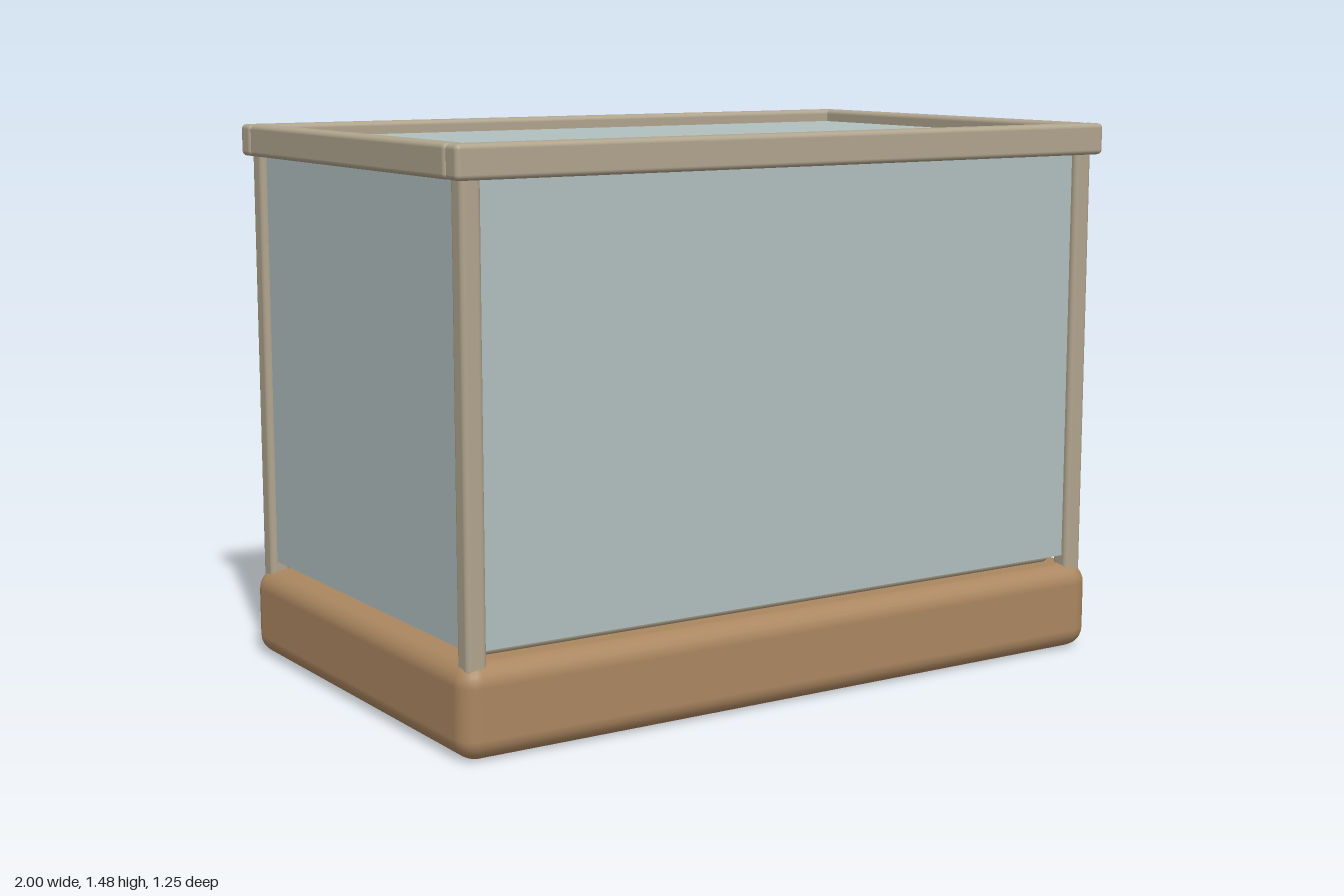
import * as THREE from 'three';
import { RoundedBoxGeometry } from 'three/addons/geometries/RoundedBoxGeometry.js';

export function createModel() {
  const model = new THREE.Group();
  model.name = 'glassTank';

  const material = (name, color) => {
    const m = new THREE.MeshStandardMaterial({ color });
    m.name = name;
    return m;
  };
  const wood = material('baseWood', 0xab8660);
  const trim = material('trim', 0xb0a48d);
  const glass = material('glass', 0xb0bfbe);

  const add = (name, geometry, mat, x, y, z) => {
    const mesh = new THREE.Mesh(geometry, mat);
    mesh.name = name;
    mesh.position.set(x, y, z);
    model.add(mesh);
  };
  const rounded = (w, h, d, r) => new RoundedBoxGeometry(w, h, d, 3, r);

  // Heavy rounded base and the floor tray standing on it
  add('base', rounded(2, 0.24, 1.25, 0.055), wood, 0, 0.12, 0);
  add('floorTray', rounded(1.83, 0.06, 1.09, 0.016), trim, 0, 0.269, 0);

  // Corner posts
  for (const x of [-0.95, 0.95]) {
    for (const z of [-0.575, 0.575]) {
      add('post', rounded(0.056, 1.22, 0.056, 0.014), trim, x, 0.82, z);
    }
  }

  // Top rails: long ones cover the corners, short ones fit between
  const railY = 1.4325;
  for (const side of [-1, 1]) {
    add('longRail', rounded(2, 0.085, 0.06, 0.013), trim, 0, railY, side * 0.595);
    add('shortRail', rounded(0.06, 0.085, 1.13, 0.013), trim, side * 0.97, railY, 0);
  }

  // Glass walls, held just above the base
  const bottom = 0.265, top = 1.42;
  const height = top - bottom, midY = (top + bottom) / 2;
  for (const side of [-1, 1]) {
    add('longPane', new THREE.BoxGeometry(1.86, height, 0.02), glass, 0, midY, side * 0.575);
    add('endPane', new THREE.BoxGeometry(0.02, height, 1.11), glass, side * 0.95, midY, 0);
  }

  // Glass lid, recessed between the rails
  add('lid', new THREE.BoxGeometry(1.88, 0.02, 1.13), glass, 0, 1.43, 0);

  return model;
}
